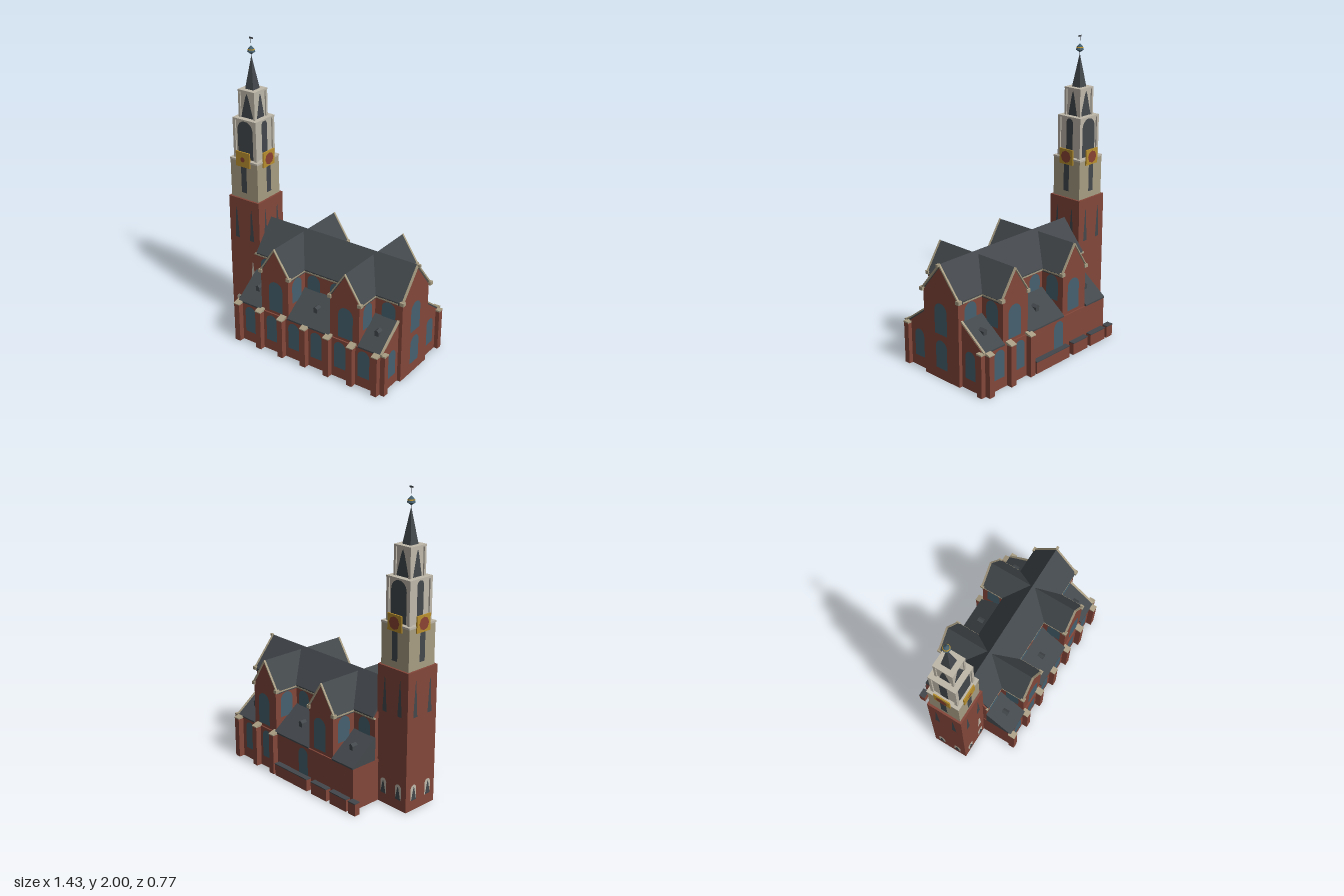
import * as THREE from 'three';

const mat = (name, color, side = THREE.FrontSide) => {
  const m = new THREE.MeshStandardMaterial({ color, side, flatShading: true });
  m.name = name;
  return m;
};

export function createModel() {
  const root = new THREE.Group();
  root.name = 'church';
  const D = THREE.DoubleSide;
  const brick = mat('brick', 0x84473a), slate = mat('slate', 0x43484c, D);
  const stone = mat('tanStone', 0xa89d83), pale = mat('paleStone', 0xbfb8aa, D);
  const glass = mat('glass', 0x46616f, D), gold = mat('gold', 0xb88f2e), dial = mat('dialRed', 0x8a4232);

  const add = (name, geo, m, parent = root) => {
    const mesh = new THREE.Mesh(geo, m);
    mesh.name = name;
    parent.add(mesh);
    return mesh;
  };
  // Box given by its limits
  const box = (name, m, x0, x1, y0, y1, z0, z1) =>
    add(name, new THREE.BoxGeometry(x1 - x0, y1 - y0, z1 - z0)
      .translate((x0 + x1) / 2, (y0 + y1) / 2, (z0 + z1) / 2), m);
  const shapeOf = (pts) => new THREE.Shape(pts.map(([a, b]) => new THREE.Vector2(a, b)));
  // Prism along x from (z, y) points
  const prismX = (name, m, pts, x0, x1) =>
    add(name, new THREE.ExtrudeGeometry(shapeOf(pts.map(([z, y]) => [-z, y])), { depth: x1 - x0, bevelEnabled: false })
      .rotateY(Math.PI / 2).translate(x0, 0, 0), m);
  // Prism along z from (x, y) points
  const prismZ = (name, m, pts, z0, z1) =>
    add(name, new THREE.ExtrudeGeometry(shapeOf(pts), { depth: z1 - z0, bevelEnabled: false })
      .translate(0, 0, z0), m);
  // Flat shapes set on walls; turn 0 = front, 1 = left end, 2 = back, 3 = right end
  const panel = (name, m, shape, x, y, z, turn) => {
    const p = add(name, new THREE.ShapeGeometry(shape, 6), m);
    p.position.set(x, y, z);
    p.rotation.y = turn * Math.PI / 2;
  };
  const arch = (w, h) => {
    const s = new THREE.Shape(), r = w / 2;
    s.moveTo(-r, 0);
    s.lineTo(r, 0);
    s.lineTo(r, h - r);
    s.absarc(0, h - r, r, 0, Math.PI, false);
    s.closePath();
    return s;
  };
  const lancet = (w, h) => shapeOf([[-w / 2, 0], [w / 2, 0], [w * 0.12, h * 0.85], [0, h], [-w * 0.12, h * 0.85]]);
  const house = (h, base, eave, ridge, c = 0) => [[c - h, base], [c + h, base], [c + h, eave], [c, ridge], [c - h, eave]];
  const vee = (h, eave, ridge, t, c = 0) =>
    [[c - h, eave], [c - h, eave - t], [c, ridge - t], [c + h, eave - t], [c + h, eave], [c, ridge]];

  // Aisles and nave
  box('aisleWalls', brick, -0.475, 0.66, 0, 0.285, -0.345, 0.345);
  prismX('nave', brick, house(0.155, 0, 0.57, 0.76), -0.47, 0.685);
  prismX('naveRoof', slate, vee(0.167, 0.578, 0.78, 0.02), -0.46, 0.682);
  prismX('naveGableCoping', stone, vee(0.167, 0.584, 0.784, 0.016), 0.682, 0.695);
  box('ridgeStone', stone, 0.69, 0.71, 0.768, 0.784, -0.008, 0.008);
  panel('apseWindow', glass, arch(0.11, 0.21), 0.688, 0.31, 0, 1);
  panel('apseLowerWindow', glass, arch(0.1, 0.195), 0.688, 0.075, 0, 1);

  // Transepts, running through both sides of the nave
  const transepts = [-0.175, 0.375];
  for (const c of transepts) {
    prismZ('transept', brick, house(0.11, 0, 0.57, 0.742, c), -0.335, 0.335);
    prismZ('transeptRoof', slate, vee(0.12, 0.575, 0.76, 0.02, c), -0.326, 0.326);
    for (const s of [-1, 1]) {
      const t = s > 0 ? 0 : 2;
      const [z0, z1] = s > 0 ? [0.326, 0.34] : [-0.34, -0.326];
      prismZ('gableCoping', stone, vee(0.12, 0.58, 0.762, 0.012, c), z0, z1);
      panel('transeptWindow', glass, arch(0.11, 0.22), c + 0.01, 0.305, s * 0.338, t);
      for (const e of [-1, 1]) {
        const x = c + e * 0.112;
        box('eaveStone', stone, x - 0.014, x + 0.014, 0.562, 0.584, s * 0.33 - 0.014, s * 0.33 + 0.014);
        box('eaveMoulding', stone, x - 0.01, x + 0.01, 0.563, 0.573, s * 0.245 - 0.085, s * 0.245 + 0.085);
        panel('transeptSideWindow', glass, arch(0.1, 0.17), c + e * 0.113, 0.38, s * 0.245, e > 0 ? 1 : 3);
      }
    }
  }

  // Lean-to aisle roofs with dormers, clerestory windows
  const bays = [[-0.475, -0.285, -0.375], [-0.065, 0.265, 0.1], [0.485, 0.655, 0.57]];
  for (const s of [-1, 1]) {
    for (const [x0, x1, d] of bays) {
      prismX('aisleRoof', slate, [[s * 0.35, 0.285], [s * 0.35, 0.295], [s * 0.155, 0.44], [s * 0.155, 0.285]], x0, x1);
      box('eaveMoulding', stone, x0, x1, 0.56, 0.57, s * 0.16 - 0.008, s * 0.16 + 0.008);
      box('dormer', slate, d - 0.014, d + 0.014, 0.34, 0.385, s * 0.248 - 0.02, s * 0.248 + 0.02);
      prismZ('dormerRoof', slate, [[d - 0.018, 0.385], [d + 0.018, 0.385], [d, 0.4]], s * 0.248 - 0.022, s * 0.248 + 0.022);
    }
    for (const x of [-0.38, 0.01, 0.19, 0.585])
      panel('clerestoryWindow', glass, arch(0.1, 0.16), x, 0.39, s * 0.158, s > 0 ? 0 : 2);
    // End wall of each aisle
    prismX('aisleEndGable', brick, [[s * 0.345, 0.28], [s * 0.155, 0.425], [s * 0.155, 0.28]], 0.65, 0.66);
    prismX('aisleEndCoping', stone, [[s * 0.35, 0.288], [s * 0.35, 0.298], [s * 0.155, 0.446], [s * 0.155, 0.434]], 0.65, 0.665);
    panel('aisleEndWindow', glass, arch(0.085, 0.19), 0.663, 0.075, s * 0.23, 1);
    box('cornerStone', stone, 0.672, 0.702, 0.565, 0.588, s * 0.163 - 0.014, s * 0.163 + 0.014);
    box('endPier', brick, 0.655, 0.688, 0, 0.285, s * 0.33 - 0.02, s * 0.33 + 0.02);
    box('endPierCap', stone, 0.65, 0.69, 0.283, 0.293, s * 0.33 - 0.022, s * 0.33 + 0.022);
  }

  // Aisle windows and buttresses; the back keeps only some of them
  const buttress = (x, s) => {
    box('buttress', brick, x - 0.021, x + 0.021, 0, 0.28, s * 0.362 - 0.022, s * 0.362 + 0.022);
    prismX('buttressCap', stone, [[s * 0.335, 0.278], [s * 0.386, 0.278], [s * 0.386, 0.284], [s * 0.335, 0.3]], x - 0.023, x + 0.023);
  };
  [-0.465, -0.285, -0.105, 0.08, 0.263, 0.445, 0.63].forEach((x) => buttress(x, 1));
  [0.265, 0.44, 0.63].forEach((x) => buttress(x, -1));
  for (const x of [-0.375, -0.195, -0.015, 0.165, 0.35, 0.53])
    panel('aisleWindow', glass, arch(0.088, 0.195), x, 0.075, 0.348, 0);
  for (const x of [-0.015, 0.35, 0.53])
    panel('aisleWindow', glass, arch(0.088, 0.195), x, 0.075, -0.348, 2);

  // Low annexes along the back
  for (const [x0, x1] of [[-0.085, 0.23], [-0.27, -0.125], [-0.45, -0.3], [-0.53, -0.47]]) {
    box('annex', brick, x0, x1, 0, 0.08, -0.382, -0.34);
    box('annexRoof', slate, x0, x1, 0.08, 0.086, -0.385, -0.34);
  }

  // Tower stages
  const tx = -0.588;
  const stage = (name, m, h, y0, y1) => box(name, m, tx - h, tx + h, y0, y1, -h, h);
  stage('towerBase', brick, 0.127, 0, 0.92);
  stage('towerLowerStage', stone, 0.113, 0.92, 1.19);
  stage('gallery', pale, 0.116, 1.185, 1.197);
  stage('belfry', pale, 0.086, 1.19, 1.465);
  stage('belfryCornice', pale, 0.097, 1.462, 1.474);
  stage('lantern', pale, 0.058, 1.47, 1.655);
  stage('lanternCornice', pale, 0.068, 1.65, 1.662);
  for (const a of [-1, 1]) for (const b of [-1, 1]) {
    const x = tx + a * 0.086, z = b * 0.086;
    box('belfryPier', pale, x - 0.01, x + 0.01, 1.19, 1.465, z - 0.01, z + 0.01);
    const lx = tx + a * 0.059, lz = b * 0.059;
    box('lanternPier', pale, lx - 0.008, lx + 0.008, 1.47, 1.655, lz - 0.008, lz + 0.008);
  }

  // Openings and clocks on each side of the tower
  for (let t = 0; t < 4; t++) {
    const a = t * Math.PI / 2, nx = Math.round(Math.sin(a)), nz = Math.round(Math.cos(a));
    const face = (name, m, shape, u, y, d) => panel(name, m, shape, tx + nx * d + nz * u, y, nz * d - nx * u, t);
    const wide = t % 2 === 0;
    for (const u of [-0.063, 0.063]) {
      face('towerSlit', slate, lancet(0.036, 0.24), u, 0.625, 0.13);
      face('baseNiche', pale, arch(0.05, 0.105), u, 0.07, 0.13);
      face('baseNicheOpening', slate, lancet(0.045, 0.09), u, 0.072, 0.133);
    }
    if (t === 0) face('stairSlit', pale, lancet(0.04, 0.18), 0.063, 0.295, 0.13);
    face('stageOpening', slate, arch(0.045, 0.21), 0, 0.965, 0.116);
    face('belfryOpening', slate, arch(wide ? 0.125 : 0.055, 0.26), 0, 1.2, 0.089);
    face('lanternOpening', slate, lancet(wide ? 0.1 : 0.075, 0.165), 0, 1.475, 0.061);
    const clock = new THREE.Group();
    clock.name = 'clock';
    clock.position.set(tx + nx * 0.118, 1.205, nz * 0.118);
    clock.rotation.y = a;
    root.add(clock);
    add('clockPlate', new THREE.BoxGeometry(0.115, 0.105, 0.009), gold, clock);
    const face2 = add('clockDial', new THREE.CircleGeometry(t === 0 ? 0.018 : 0.042, 8), dial, clock);
    face2.position.z = 0.007;
  }

  // Spire, finial and vane
  add('spire', new THREE.ConeGeometry(0.034 * Math.SQRT2, 0.225, 4).rotateY(Math.PI / 4).translate(tx, 1.77, 0), slate);
  add('finial', new THREE.LatheGeometry([[0, 1.888], [0.026, 1.905], [0.018, 1.928], [0, 1.945]]
    .map(([r, y]) => new THREE.Vector2(r, y)), 8).translate(tx, 0, 0), glass);
  add('finialRing', new THREE.CylinderGeometry(0.021, 0.024, 0.006, 8).translate(tx, 1.921, 0), gold);
  add('vaneRod', new THREE.CylinderGeometry(0.0015, 0.0015, 0.13, 4).translate(tx, 1.93, 0), slate);
  box('vane', slate, tx - 0.012, tx + 0.016, 1.99, 2, -0.002, 0.002);
  return root;
}
